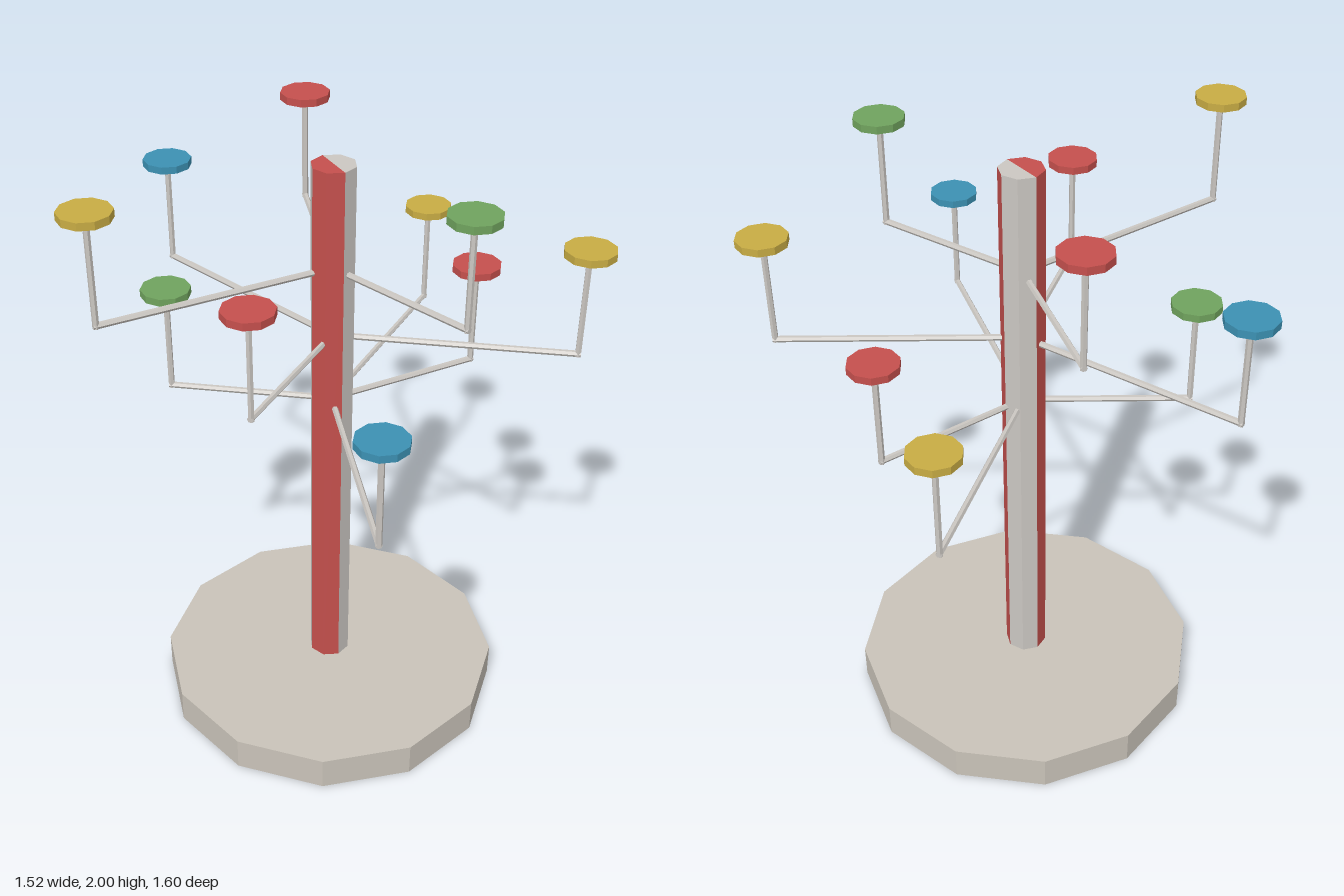
import * as THREE from 'three';

export function createModel() {
  const model = new THREE.Group();
  const mat = (name, color) => {
    const m = new THREE.MeshStandardMaterial({ color, flatShading: true });
    m.name = name;
    return m;
  };
  const stone = mat('stone', 0xc9c3b9);
  const pale = mat('pale grey', 0xcbc7c2);
  const red = mat('red', 0xc5504d);
  const yellow = mat('yellow', 0xc8ac44);
  const green = mat('green', 0x70a35e);
  const blue = mat('blue', 0x3c91b3);

  const add = (parent, name, geometry, material, x, y, z) => {
    const mesh = new THREE.Mesh(geometry, material);
    mesh.name = name;
    mesh.position.set(x, y, z);
    parent.add(mesh);
    return mesh;
  };

  // Everything stands around an axis slightly off the middle
  const tree = new THREE.Group();
  tree.name = 'discTree';
  tree.position.x = 0.07;
  model.add(tree);

  // Twelve-sided base
  add(tree, 'base', new THREE.CylinderGeometry(0.58, 0.58, 0.117, 12), stone, 0, 0.0585, 0);

  // Eight-sided pole with painted sides, listed from +z towards +x
  const sides = [pale, red, pale, pale, red, pale, red, red];
  const poleGeometry = new THREE.CylinderGeometry(0.07, 0.07, 1.865, 8, 1, true);
  poleGeometry.clearGroups();
  sides.forEach((m, i) => poleGeometry.addGroup(i * 6, 6, m === red ? 1 : 0));
  add(tree, 'pole', poleGeometry, [pale, red], 0, 1.0475, 0);

  // Two-coloured pole cap, half and half
  [[pale, -Math.PI / 2, 'capLeft'], [red, Math.PI / 2, 'capRight']].forEach(([m, start, name]) => {
    add(tree, name, new THREE.CircleGeometry(0.07, 4, start, Math.PI), m, 0, 1.98, 0).rotation.x = -Math.PI / 2;
  });

  // Ten branches: colour, reach and height each repeat in their own cycle
  const colours = [red, yellow, green, blue];
  const reaches = [0.525, 0.757];
  const tops = [1.533, 1.767, 2.0];
  const discGeometry = new THREE.CylinderGeometry(0.08, 0.08, 0.024, 10);
  const rod = (length) => new THREE.CylinderGeometry(0.01, 0.01, length, 6);

  for (let i = 0; i < 10; i++) {
    const angle = (i * Math.PI) / 5;
    const reach = reaches[i % 2];
    const top = tops[i % 3];
    const armY = top - 0.357;
    const branch = new THREE.Group();
    branch.name = 'branch' + (i + 1);
    branch.rotation.y = -angle;
    tree.add(branch);

    const armLength = reach + 0.008 - 0.03;
    add(branch, 'arm', rod(armLength), pale, 0.03 + armLength / 2, armY, 0).rotation.z = Math.PI / 2;
    const postLength = 0.357 - 0.012 + 0.008;
    add(branch, 'post', rod(postLength), pale, reach, armY - 0.008 + postLength / 2, 0);
    add(branch, 'disc', discGeometry, colours[i % 4], reach, top - 0.012, 0);
  }
  return model;
}
